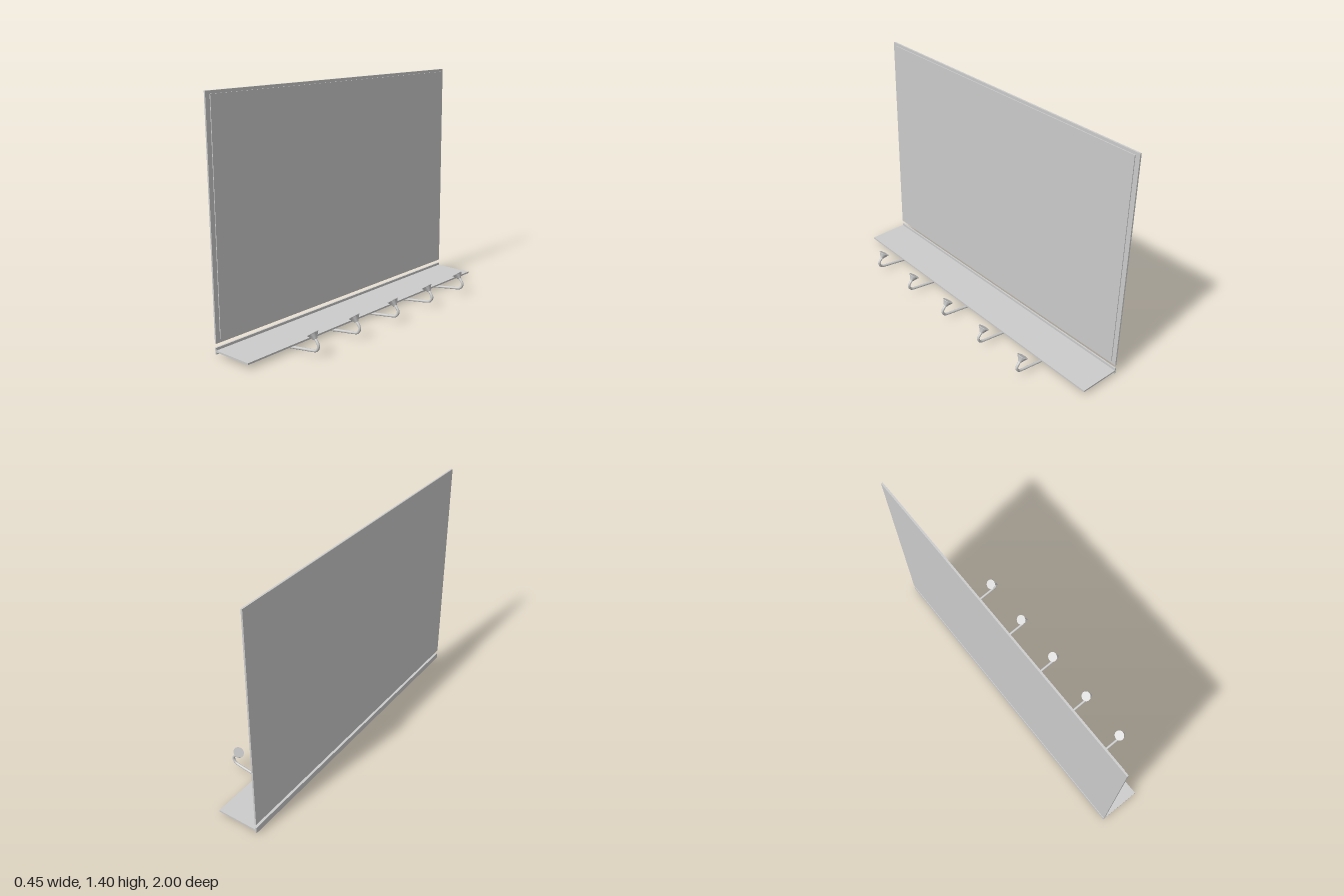
import * as THREE from 'three';
import { toCreasedNormals } from 'three/addons/utils/BufferGeometryUtils.js';

const material = new THREE.MeshStandardMaterial({ color: 0xcccccc });

// Box given by its x and y limits and its length along z
function slab(name, x0, x1, y0, y1, length) {
  const mesh = new THREE.Mesh(new THREE.BoxGeometry(x1 - x0, y1 - y0, length), material);
  mesh.position.set((x0 + x1) / 2, (y0 + y1) / 2, 0);
  mesh.name = name;
  return mesh;
}

export function createModel() {
  const group = new THREE.Group();
  group.name = 'wallPanelWithHookShelf';

  // Upright board: backing plate with a slightly raised panel
  group.add(slab('boardBack', -0.226, -0.216, 0.07, 1.4, 2));
  group.add(slab('boardPanel', -0.217, -0.211, 0.09, 1.383, 1.945));

  // Shelf with its wall strip
  group.add(slab('wallStrip', -0.226, -0.217, 0.009, 0.047, 2));
  group.add(slab('shelf', -0.218, 0.033, 0.022, 0.032, 2));

  // Bent arm running out from below the shelf and curling back up
  const path = new THREE.CatmullRomCurve3([
    [-0.013, 0.025], [-0.008, 0.013], [0.004, 0.0085], [0.03, 0.0125], [0.1, 0.023],
    [0.17, 0.033], [0.196, 0.039], [0.209, 0.05], [0.216, 0.069], [0.211, 0.083], [0.184, 0.113],
  ].map(([x, y]) => new THREE.Vector3(x, y, 0)));
  const armGeometry = new THREE.TubeGeometry(path, 64, 0.008, 12);

  // Flared knob: narrow neck widening to a flat round face
  const profile = [[0, -0.034], [0.012, -0.034], [0.016, -0.026], [0.029, -0.006], [0.0325, -0.003], [0.0325, 0], [0, 0]]
    .map(([r, y]) => new THREE.Vector2(r, y));
  const knobGeometry = toCreasedNormals(new THREE.LatheGeometry(profile, 24), 0.6);

  for (const z of [-0.658, -0.33, 0.002, 0.343, 0.671]) {
    const hook = new THREE.Group();
    hook.name = 'hook';
    const arm = new THREE.Mesh(armGeometry, material);
    arm.name = 'hookArm';
    const knob = new THREE.Mesh(knobGeometry, material);
    knob.name = 'hookKnob';
    knob.position.set(0.173, 0.131, 0);
    knob.rotation.z = 0.64;
    hook.add(arm, knob);
    hook.position.z = z;
    group.add(hook);
  }
  return group;
}
